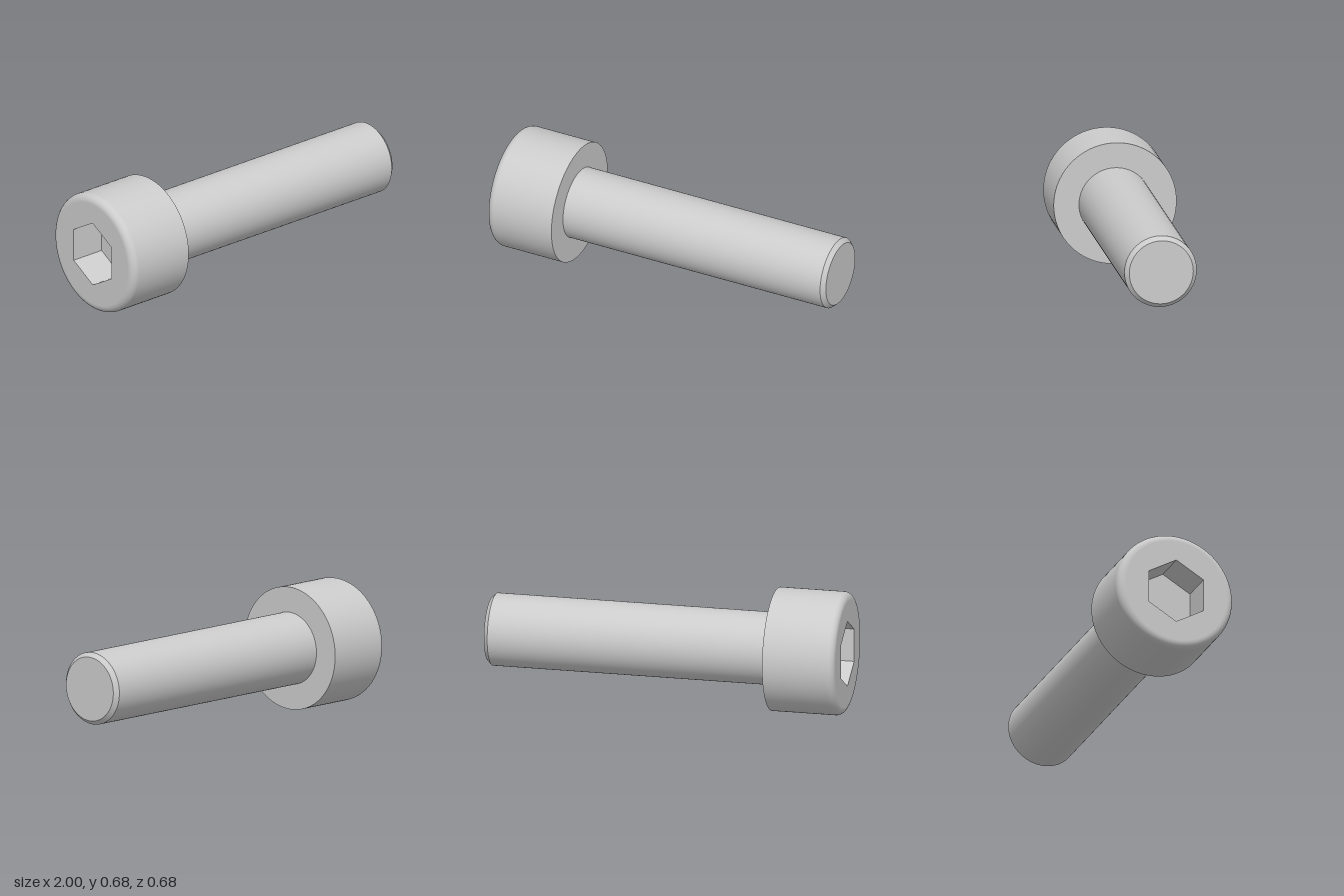
import * as THREE from 'three';

const SIDES = 96;
const HEAD_R = 0.34, SHANK_R = 0.2, TIP_R = 0.177;
const HEX_R = 0.185, FILLET = 0.042;

export function createModel() {
  const model = new THREE.Group();
  model.name = 'socketHeadBolt';
  const smooth = new THREE.MeshStandardMaterial({ color: 0xcccccc });
  const flat = new THREE.MeshStandardMaterial({ color: 0xcccccc, flatShading: true });

  // The bolt is turned about local y, then laid along x with its head at -x.
  const bolt = new THREE.Group();
  bolt.name = 'bolt';
  bolt.rotation.z = -Math.PI / 2;
  bolt.position.y = HEAD_R;
  model.add(bolt);

  const add = (name, geometry, material = smooth) => {
    const mesh = new THREE.Mesh(geometry, material);
    mesh.name = name;
    bolt.add(mesh);
  };
  // Each smooth stretch of the profile is its own lathe, so edges stay sharp.
  const turn = (points, sides = SIDES, start = 0) =>
    new THREE.LatheGeometry(points.map(([r, y]) => new THREE.Vector2(r, y)), sides, start);

  // Head side with rounded outer rim
  const side = [];
  for (let i = 0; i <= 10; i++) {
    const a = (i / 10) * Math.PI / 2;
    side.push([HEAD_R - FILLET * (1 - Math.sin(a)), -1 + FILLET * (1 - Math.cos(a))]);
  }
  side.push([HEAD_R, -0.6]);
  add('headSide', turn(side));
  add('headUnderside', turn([[HEAD_R, -0.6], [SHANK_R, -0.6]]));

  // Head face with a hexagonal opening
  const face = new THREE.Shape().absarc(0, 0, HEAD_R - FILLET, 0, Math.PI * 2);
  const hex = [];
  for (let i = 0; i < 6; i++) {
    const a = (i * Math.PI) / 3;
    hex.push(new THREE.Vector2(HEX_R * Math.cos(a), HEX_R * Math.sin(a)));
  }
  face.holes.push(new THREE.Path(hex));
  add('headFace', new THREE.ShapeGeometry(face, SIDES).rotateX(Math.PI / 2).translate(0, -1, 0));

  // Hexagonal socket: flat floor and six walls
  add('hexSocket', turn([[0, -0.8], [HEX_R, -0.8], [HEX_R, -1]], 6, Math.PI / 2), flat);

  // Shank, chamfered tip and end face
  add('shank', turn([[SHANK_R, -0.6], [SHANK_R, 0.976]]));
  add('tipChamfer', turn([[SHANK_R, 0.976], [TIP_R, 1]]));
  add('tipFace', turn([[TIP_R, 1], [0, 1]]));

  return model;
}
